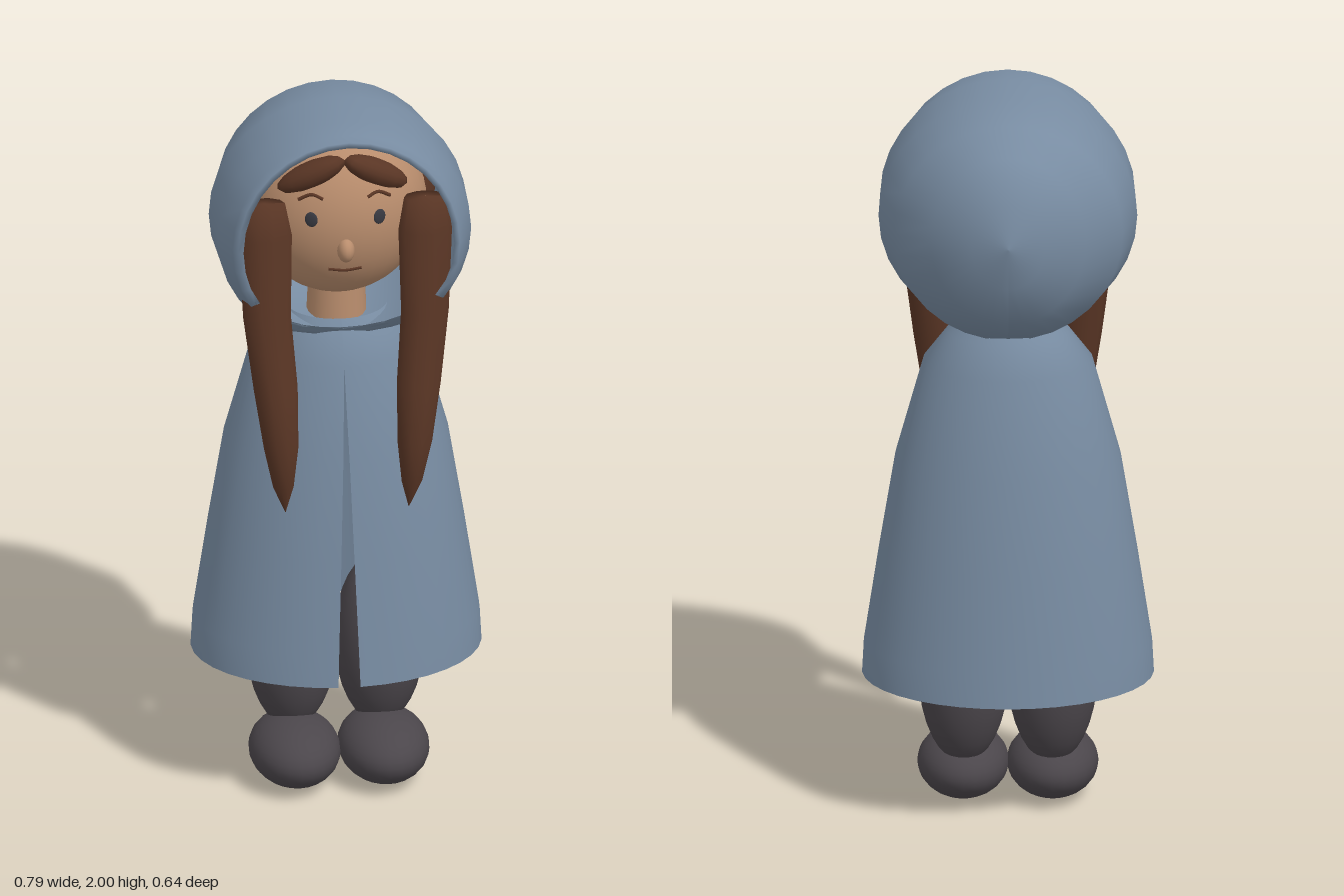
import * as THREE from 'three';

const mat = (name, color, side = THREE.FrontSide) => {
  const m = new THREE.MeshStandardMaterial({ color, side });
  m.name = name;
  return m;
};

// Smooth surface through rows of points: fn(row, t) returns [x, y, z], t runs 0..1 around
function loft(rows, segments, fn) {
  const pos = [], index = [], w = segments + 1;
  rows.forEach((row, i) => {
    for (let j = 0; j <= segments; j++) pos.push(...fn(row, j / segments));
    if (i === rows.length - 1) return;
    for (let j = 0; j < segments; j++) {
      const a = i * w + j, b = a + w;
      index.push(a, a + 1, b, a + 1, b + 1, b);
    }
  });
  const g = new THREE.BufferGeometry();
  g.setAttribute('position', new THREE.Float32BufferAttribute(pos, 3));
  g.setIndex(index);
  g.computeVertexNormals();
  return g;
}

export function createModel() {
  const model = new THREE.Group();
  const cloth = mat('blue cloth', 0x788ca2, THREE.DoubleSide);
  const skin = mat('skin', 0xb98d6d);
  const hair = mat('brown hair', 0x5a3625);
  const boots = mat('dark boots', 0x4b464b);
  const eyes = mat('eyes', 0x393a42);

  const add = (name, geo, material, parent = model) => {
    const m = new THREE.Mesh(geo, material);
    m.name = name;
    parent.add(m);
    return m;
  };
  const ball = (name, material, p, r, ws = 24, hs = 16) => {
    const m = add(name, new THREE.SphereGeometry(1, ws, hs), material);
    m.position.set(...p);
    m.scale.set(...r);
    return m;
  };

  // Cloak, open down the front: y, half width, half depth, half slit
  const cloakRows = [
    [1.385, 0.14, 0.13, 0], [1.355, 0.165, 0.15, 0], [1.27, 0.23, 0.195, 0],
    [1.0, 0.305, 0.25, 0.009], [0.73, 0.35, 0.283, 0.018],
    [0.47, 0.39, 0.31, 0.027], [0.375, 0.395, 0.32, 0.03],
  ];
  add('cloak', loft(cloakRows, 36, ([y, rx, rz, slit], t) => {
    const gap = Math.asin(slit / rx);
    const a = gap + t * (Math.PI * 2 - 2 * gap);
    return [-rx * Math.sin(a), y, rz * Math.cos(a)];
  }), cloth);

  // Hood: z, half width, top, bottom; the rim slopes back toward the neck
  const hoodRows = [
    [-0.31, 0.001, 1.691, 1.689], [-0.29, 0.1, 1.81, 1.57], [-0.235, 0.21, 1.925, 1.45],
    [-0.125, 0.31, 1.98, 1.365], [0.03, 0.35, 2.0, 1.34], [0.2, 0.345, 2.0, 1.34],
    [0.285, 0.315, 1.997, 1.35], [0.305, 0.302, 1.985, 1.36],
  ];
  const lining = hoodRows.map(([z, rx, top, bottom]) =>
    [z > 0.2 ? z : z * 0.95, rx * 0.95, 1.67 + (top - 1.67) * 0.95, 1.67 + (bottom - 1.67) * 0.95]);
  const rimZ = (y) => {
    const edge = [[1.34, 0.13], [1.41, 0.2], [1.51, 0.275], [1.6, 0.305]];
    for (let i = 0; i < 3; i++) {
      const [y0, z0] = edge[i], [y1, z1] = edge[i + 1];
      if (y < y1) return z0 + (z1 - z0) * Math.max(0, (y - y0) / (y1 - y0));
    }
    return 0.305;
  };
  add('hood', loft([...hoodRows, ...lining.reverse()], 32, ([z, rx, top, bottom], t) => {
    const a = t * Math.PI * 2 - Math.PI / 2;
    const y = (top + bottom) / 2 + Math.sin(a) * (top - bottom) / 2;
    return [rx * Math.cos(a), y, Math.min(z, rimZ(y))];
  }), cloth);

  // Head, nose, neck and the hair behind the face
  const head = { p: [0, 1.69, 0.02], r: [0.245, 0.255, 0.22] };
  const faceZ = (x, y) => head.p[2] + head.r[2] *
    Math.sqrt(Math.max(0, 1 - (x / head.r[0]) ** 2 - ((y - head.p[1]) / head.r[1]) ** 2));
  ball('head', skin, head.p, head.r, 32, 24);
  ball('nose', skin, [0, 1.635, 0.23], [0.024, 0.035, 0.035], 16, 12);
  const neck = add('neck', new THREE.CylinderGeometry(0.075, 0.085, 0.22, 20), skin);
  neck.position.set(0, 1.4, 0.01);
  ball('backHair', hair, [0, 1.69, -0.04], [0.275, 0.262, 0.2]);

  // Thin line laid on the face
  const faceLine = (name, points, radius, material) => {
    const curve = new THREE.CatmullRomCurve3(
      points.map(([x, y]) => new THREE.Vector3(x, y, faceZ(x, y) + 0.001)));
    add(name, new THREE.TubeGeometry(curve, 10, radius, 6), material);
  };
  faceLine('mouth', [[-0.045, 1.572], [0, 1.567], [0.045, 1.572]], 0.004, hair);

  // Hair lock: y, centre x, centre z, half width, half depth
  const lockRows = [
    [1.77, 0.22, 0.2, 0.001, 0.001], [1.768, 0.22, 0.2, 0.058, 0.04],
    [1.68, 0.218, 0.215, 0.073, 0.048], [1.45, 0.215, 0.235, 0.065, 0.045],
    [1.25, 0.195, 0.265, 0.06, 0.05], [1.08, 0.182, 0.283, 0.047, 0.042],
    [0.96, 0.175, 0.275, 0.028, 0.026], [0.88, 0.168, 0.262, 0.001, 0.001],
  ];

  for (const s of [1, -1]) {
    const side = s > 0 ? 'left' : 'right';
    // Eyes and brows
    const eye = ball(side + 'Eye', eyes, [s * 0.093, 1.725, faceZ(0.093, 1.725)],
      [0.018, 0.022, 0.005], 16, 10);
    eye.rotation.y = s * 0.4;
    faceLine(side + 'Brow', [[s * 0.06, 1.782], [s * 0.09, 1.792], [s * 0.125, 1.775]], 0.005, hair);

    // Fringe swept to the side
    const fringe = ball(side + 'Fringe', hair, [s * 0.088, 1.838, 0.175], [0.105, 0.036, 0.04], 12, 8);
    fringe.rotation.set(0, s * 0.3, -s * 0.5);

    // Long lock falling over the cloak
    add(side + 'HairLock', loft(lockRows, 10, ([y, cx, cz, rx, rz], t) => {
      const a = t * Math.PI * 2;
      return [s * cx + rx * Math.cos(a), y, cz + rz * Math.sin(a)];
    }), hair);

    // Leg and rounded shoe
    ball(side + 'Leg', boots, [s * 0.12, 0.37, -0.015], [0.122, 0.25, 0.125]);
    ball(side + 'Shoe', boots, [s * 0.121, 0.092, 0.07], [0.124, 0.092, 0.18]);
  }
  return model;
}
